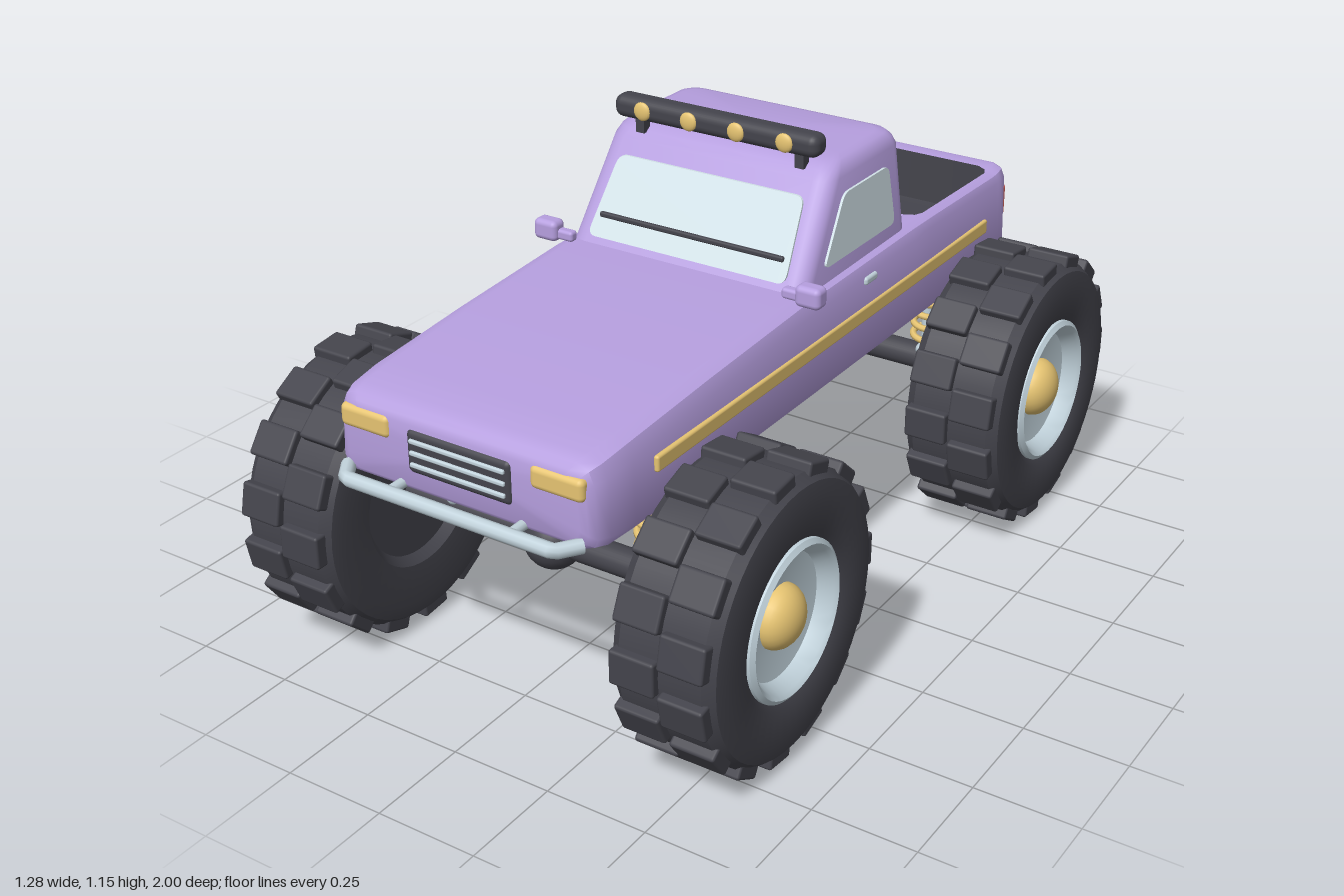
import * as THREE from 'three';
import { mergeGeometries, toCreasedNormals } from 'three/addons/utils/BufferGeometryUtils.js';
import { RoundedBoxGeometry } from 'three/addons/geometries/RoundedBoxGeometry.js';

const mat = (name, color) => Object.assign(new THREE.MeshStandardMaterial({ color }), { name });

export function createModel() {
  const paint = mat('lilac paint', 0xb69fdf);
  const dark = mat('charcoal rubber', 0x44444c);
  const gold = mat('gold', 0xe6c472);
  const chrome = mat('pale chrome', 0xc2d3dc);
  const glass = mat('glass', 0xd2e2e8);
  const red = mat('tail light red', 0xe26c64);
  const model = new THREE.Group();
  model.name = 'liftedPickup';

  const add = (name, geo, material, x = 0, y = 0, z = 0, parent = model) => {
    const m = new THREE.Mesh(geo, material);
    m.name = name;
    m.position.set(x, y, z);
    parent.add(m);
    return m;
  };
  const rbox = (w, h, d, r = 0.01) => new RoundedBoxGeometry(w, h, d, 3, r);
  const V = (x, y, z) => new THREE.Vector3(x, y, z);

  // Skin closed rings into a solid; isInner(ring, point) picks the second material group
  const loft = (rings, isInner = () => false) => {
    const n = rings[0].length, outer = [], inner = [], pts = rings.flat();
    for (let s = 0; s < rings.length - 1; s++) for (let i = 0; i < n; i++) {
      const j = (i + 1) % n, a = s * n + i, b = s * n + j;
      (isInner(s, i) ? inner : outer).push(a, b, b + n, a, b + n, a + n);
    }
    [0, rings.length - 1].forEach((s) => {
      const c = pts.length;
      pts.push(rings[s].reduce((t, p) => t.add(p), V(0, 0, 0)).divideScalar(n));
      for (let i = 0; i < n; i++) {
        const a = s * n + i, b = s * n + (i + 1) % n;
        outer.push(c, ...(s ? [a, b] : [b, a]));
      }
    });
    const g = new THREE.BufferGeometry().setFromPoints(pts);
    g.setIndex([...outer, ...inner]);
    g.addGroup(0, outer.length, 0);
    if (inner.length) g.addGroup(outer.length, inner.length, 1);
    return toCreasedNormals(g, 0.7);
  };

  // Lower body: z, half width, bottom, top, top corner radius, bed depth, bed corner inset (rear to front)
  const sections = [
    [-0.935, 0.315, 0.59, 0.797, 0.03, 0, 0], [-0.927, 0.338, 0.572, 0.814, 0.03, 0, 0],
    [-0.905, 0.351, 0.565, 0.82, 0.03, 0, 0], [-0.877, 0.354, 0.565, 0.816, 0.028, 0, 0.03],
    [-0.874, 0.354, 0.565, 0.816, 0.028, 0.13, 0.03], [-0.865, 0.354, 0.565, 0.815, 0.028, 0.13, 0.01],
    [-0.844, 0.354, 0.565, 0.814, 0.028, 0.13, 0], [-0.49, 0.357, 0.565, 0.824, 0.028, 0.13, 0],
    [-0.468, 0.357, 0.565, 0.824, 0.028, 0.13, 0.01], [-0.459, 0.357, 0.565, 0.824, 0.028, 0.13, 0.03],
    [-0.456, 0.357, 0.565, 0.824, 0.028, 0, 0.03], [-0.4, 0.357, 0.565, 0.825, 0.035, 0, 0],
    [0.13, 0.357, 0.565, 0.82, 0.04, 0, 0], [0.5, 0.355, 0.565, 0.802, 0.045, 0, 0],
    [0.8, 0.351, 0.565, 0.781, 0.045, 0, 0], [0.88, 0.346, 0.565, 0.771, 0.045, 0, 0],
    [0.912, 0.335, 0.57, 0.762, 0.04, 0, 0], [0.926, 0.322, 0.58, 0.75, 0.035, 0, 0],
    [0.932, 0.305, 0.59, 0.735, 0.03, 0, 0],
  ];
  const bodyRings = sections.map(([z, w, y0, y1, r, depth, inset]) => {
    const t = w - 0.006, bed = t - r - 0.003 - inset;
    const half = [
      [w - 0.03, y0], [w - 0.009, y0 + 0.009], [w, y0 + 0.03], [t, y1 - r],
      [t - r * 0.3, y1 - r * 0.3], [t - r, y1], [bed, y1], [bed - 0.003, y1 - depth],
    ];
    return [...half, ...half.map(([x, y]) => [-x, y]).reverse()].map(([x, y]) => V(x, y, z));
  });
  add('body', loft(bodyRings, (s, i) => s >= 3 && s <= 9 && i >= 6 && i <= 8), [paint, dark]);

  // Cab: tapering rounded rectangles stacked upwards
  const frontZ = (y) => 0.1 - (y - 0.82) * 0.65;
  const rearZ = (y) => -0.41 + (y - 0.82) * 0.08;
  const sideX = (y) => 0.325 - (y - 0.82) * 0.08;
  const cabRings = [[0.79, 0], [1.042, 0], [1.062, 0.006], [1.075, 0.017], [1.08, 0.035]].map(([y, inset]) => {
    const r = 0.045, w = sideX(y) - inset - r, zf = frontZ(y) - inset - r, zr = rearZ(y) + inset + r;
    const ring = [];
    [[w, zf], [w, zr], [-w, zr], [-w, zf]].forEach(([cx, cz], k) => {
      for (let i = 0; i <= 5; i++) {
        const a = (k + i / 5) * Math.PI / 2;
        ring.push(V(cx + r * Math.sin(a), y, cz + r * Math.cos(a)));
      }
    });
    return ring;
  });
  add('cab', loft(cabRings), paint);

  // Rounded thin panes laid onto the sloping cab faces
  const pane = (name, pts, place) => {
    const s = new THREE.Shape(), P = pts.map((p) => new THREE.Vector2(...p)), n = P.length;
    P.forEach((p, i) => {
      const toward = (q) => p.clone().add(q.clone().sub(p).setLength(0.022));
      const a = toward(P[(i + n - 1) % n]), b = toward(P[(i + 1) % n]);
      i ? s.lineTo(a.x, a.y) : s.moveTo(a.x, a.y);
      s.quadraticCurveTo(p.x, p.y, b.x, b.y);
    });
    const g = new THREE.ExtrudeGeometry(s, { depth: 0.008, bevelEnabled: false, curveSegments: 5 });
    const pos = g.attributes.position;
    for (let i = 0; i < pos.count; i++) pos.setXYZ(i, ...place(pos.getX(i), pos.getY(i), pos.getZ(i) - 0.002));
    g.computeVertexNormals();
    add(name, g, glass);
  };
  pane('windshield', [[-0.275, 0.837], [0.275, 0.837], [0.256, 1.01], [-0.256, 1.01]], (x, y, d) => [x, y, frontZ(y) + d]);
  pane('rearWindow', [[-0.25, 0.86], [0.25, 0.86], [0.23, 1.0], [-0.23, 1.0]], (x, y, d) => [-x, y, rearZ(y) - d]);
  const sidePane = [[0.005, 0.855], [-0.1, 1.005], [-0.31, 1.005], [-0.33, 0.855]];
  pane('leftWindow', sidePane.map(([z, y]) => [-z, y]), (u, y, d) => [sideX(y) + d, y, -u]);
  pane('rightWindow', [...sidePane].reverse(), (u, y, d) => [-sideX(y) - d, y, u]);
  for (const s of [-1, 1]) {
    add('wiper', rbox(0.27, 0.014, 0.012, 0.005), dark, s * 0.12, 0.885, frontZ(0.885) + 0.008);
  }

  // Roof light bar
  add('lightBar', rbox(0.56, 0.056, 0.06, 0.022), dark, 0, 1.125, -0.056);
  for (const x of [-0.195, -0.065, 0.065, 0.195]) {
    add('roofLamp', new THREE.SphereGeometry(0.023, 18, 12).scale(1, 1, 0.4), gold, x, 1.125, -0.027);
  }

  // Nose and tail details
  add('grille', rbox(0.275, 0.104, 0.03, 0.014), dark, 0, 0.676, 0.924);
  for (const y of [0.648, 0.676, 0.704]) add('grilleBar', rbox(0.25, 0.011, 0.01, 0.004), chrome, 0, y, 0.94);
  add('tailgateHandle', rbox(0.17, 0.035, 0.014, 0.006), chrome, 0, 0.65, -0.936);

  // Bumpers: bent tube with two struts
  for (const [name, s] of [['frontBumper', 1], ['rearBumper', -1]]) {
    const path = new THREE.CurvePath();
    const p = [[-0.31, 0.93], [-0.275, 0.98], [0.275, 0.98], [0.31, 0.93]].map(([x, z]) => V(x, 0.588, s * z));
    for (let i = 0; i < 3; i++) path.add(new THREE.LineCurve3(p[i], p[i + 1]));
    add(name, new THREE.TubeGeometry(path, 48, 0.017, 10), chrome);
    for (const x of [-0.16, 0.16]) {
      add('bumperStrut', new THREE.CylinderGeometry(0.012, 0.012, 0.1, 10), chrome, x, 0.588, s * 0.93).rotation.x = Math.PI / 2;
    }
  }

  // Mirrored body trim and frame rails
  for (const s of [-1, 1]) {
    add('headlight', rbox(0.134, 0.054, 0.034, 0.014), gold, s * 0.251, 0.712, 0.922);
    add('tailLight', rbox(0.065, 0.092, 0.035, 0.012), red, s * 0.306, 0.715, -0.922);
    add('sideStripe', rbox(0.014, 0.038, 1.52, 0.006), gold, s * 0.352, 0.693, -0.03);
    add('doorHandle', rbox(0.016, 0.02, 0.056, 0.007), chrome, s * 0.351, 0.775, -0.17);
    add('mirrorArm', rbox(0.07, 0.026, 0.026, 0.008), paint, s * 0.325, 0.838, 0.125);
    add('mirror', rbox(0.066, 0.052, 0.045, 0.014), paint, s * 0.363, 0.845, 0.128);
    add('lightBarPost', new THREE.BoxGeometry(0.024, 0.06, 0.024), dark, s * 0.22, 1.09, -0.065);
    add('frameRail', rbox(0.05, 0.082, 1.55, 0.008), dark, s * 0.175, 0.528, -0.02);
  }
  for (const z of [0.62, 0.2, -0.25, -0.65]) add('crossMember', rbox(0.32, 0.055, 0.06, 0.006), dark, 0, 0.525, z);

  // Wheel geometry, spun about its axle (outer face up)
  const lathe = (pts) => toCreasedNormals(new THREE.LatheGeometry(pts.map((p) => new THREE.Vector2(...p)), 48), 0.6);
  const tyreGeo = lathe([[0, -0.1], [0.165, -0.1], [0.185, -0.122], [0.28, -0.13], [0.312, -0.124], [0.33, -0.1],
    [0.33, 0.1], [0.312, 0.124], [0.28, 0.13], [0.2, 0.125], [0.178, 0.11]]);
  const rimGeo = lathe([[0.184, 0.1], [0.183, 0.122], [0.172, 0.13], [0.162, 0.122], [0.145, 0.088], [0.09, 0.08], [0, 0.08]]);
  const hubGeo = new THREE.SphereGeometry(0.075, 24, 10, 0, Math.PI * 2, 0, Math.PI / 2).scale(1, 0.75, 1);
  const lugs = [];
  for (let i = 0; i < 30; i++) {
    lugs.push(new RoundedBoxGeometry(0.082, 0.11, 0.036, 2, 0.007)
      .translate(0, (i % 2 ? 1 : -1) * 0.058, 0.331).rotateY(i / 30 * Math.PI * 2));
  }
  const lugGeo = mergeGeometries(lugs);

  // Coil spring path
  const coil = new THREE.Curve();
  coil.getPoint = (t, o = V(0, 0, 0)) => o.set(0.036 * Math.cos(t * 8 * Math.PI), (t - 0.5) * 0.14, 0.036 * Math.sin(t * 8 * Math.PI));
  const coilGeo = new THREE.TubeGeometry(coil, 96, 0.009, 7);

  // Axles, suspension and wheels
  for (const [name, z] of [['frontAxle', 0.62], ['rearAxle', -0.65]]) {
    const axle = new THREE.Group();
    axle.name = name;
    axle.position.set(0, 0.35, z);
    model.add(axle);
    add('axleTube', new THREE.CylinderGeometry(0.035, 0.035, 0.82, 20), dark, 0, 0, 0, axle).rotation.z = Math.PI / 2;
    add('differential', new THREE.SphereGeometry(0.072, 24, 16), dark, 0, 0, 0, axle);
    add('axlePost', new THREE.CylinderGeometry(0.025, 0.025, 0.16, 14), dark, 0, 0.1, 0, axle);
    for (const s of [-1, 1]) {
      add('shock', new THREE.CylinderGeometry(0.015, 0.015, 0.2, 12), chrome, s * 0.27, 0.125, 0, axle);
      add('shockMount', new THREE.SphereGeometry(0.019, 12, 8), chrome, s * 0.27, 0.03, 0.02, axle);
      add('spring', coilGeo, gold, s * 0.27, 0.125, 0, axle);
      const wheel = new THREE.Group();
      wheel.name = 'wheel';
      wheel.position.x = s * 0.505;
      wheel.rotation.z = -s * Math.PI / 2;
      axle.add(wheel);
      add('tyre', tyreGeo, dark, 0, 0, 0, wheel);
      add('treadLugs', lugGeo, dark, 0, 0, 0, wheel);
      add('rim', rimGeo, chrome, 0, 0, 0, wheel);
      add('hubCap', hubGeo, gold, 0, 0.079, 0, wheel);
    }
  }
  return model;
}
